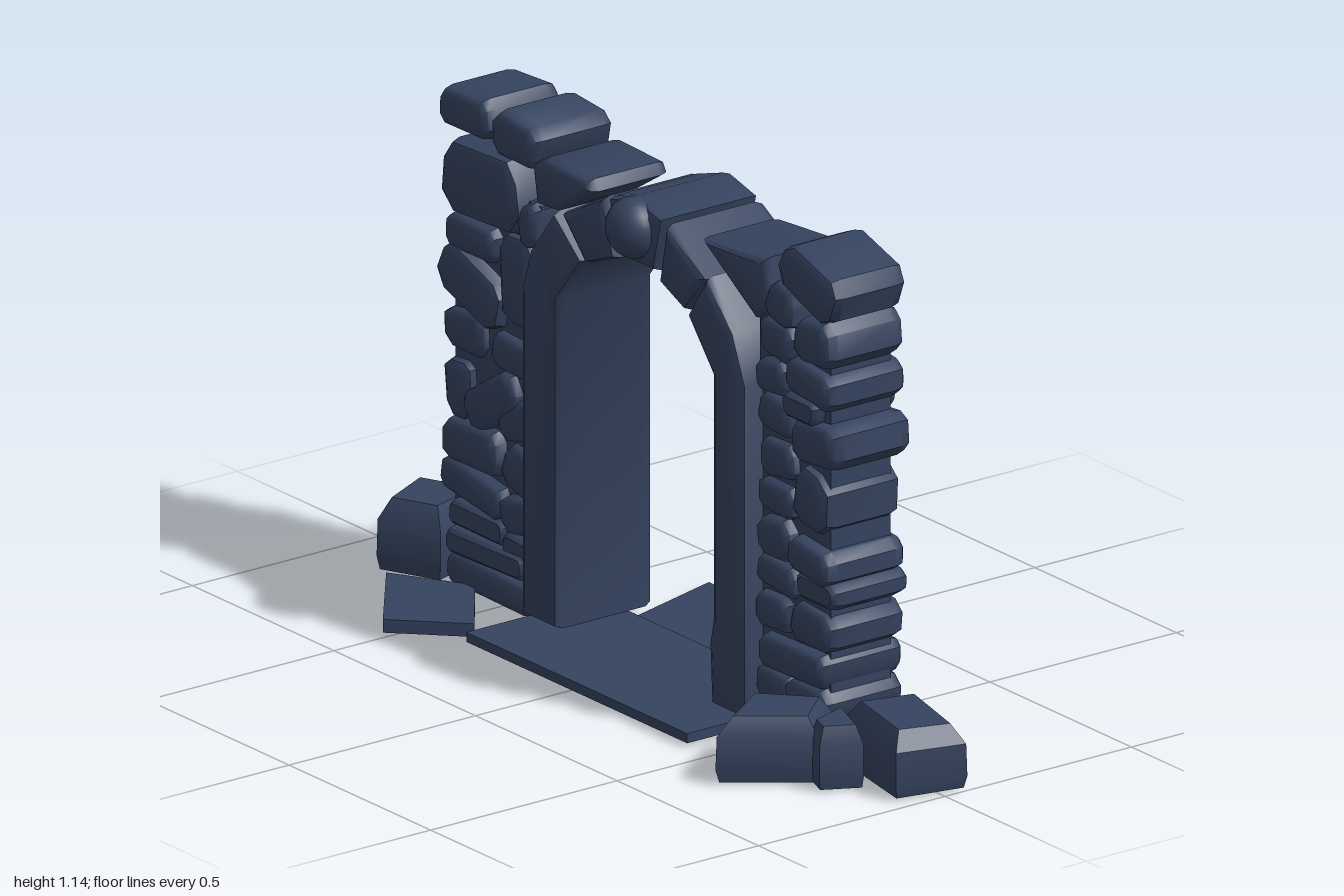
import * as THREE from 'three';
import { toCreasedNormals } from 'three/addons/utils/BufferGeometryUtils.js';
import { ConvexGeometry } from 'three/addons/geometries/ConvexGeometry.js';

const stoneMaterial = new THREE.MeshStandardMaterial({ color: 0x35435f });
stoneMaterial.name = 'slate blue stone';

// small seeded generator for the irregular masonry
let seed = 7;
const jitter = (amount) => {
  seed = (seed * 16807) % 2147483647;
  return (seed / 2147483647 - 0.5) * 2 * amount;
};

function addMesh(parent, name, geometry) {
  const mesh = new THREE.Mesh(geometry, stoneMaterial);
  mesh.name = name;
  parent.add(mesh);
  return mesh;
}

// outline in the front plane, carried from zBack to zFront with rounded edges
function block(points, zBack, zFront, bevel, bevelDepth = bevel) {
  const shape = new THREE.Shape(points.map(([x, y]) => new THREE.Vector2(x, y)));
  const geometry = new THREE.ExtrudeGeometry(shape, {
    depth: zFront - zBack - 2 * bevelDepth,
    bevelEnabled: bevel > 0,
    bevelSize: bevel,
    bevelOffset: -bevel,
    bevelThickness: bevelDepth,
    bevelSegments: 2,
  });
  geometry.translate(0, 0, zBack + bevelDepth);
  return toCreasedNormals(geometry, 0.75);
}

// irregular wall stone: a tilted rectangle with cut corners
function wallStone(x, y, w, h, tilt = 0) {
  const c = Math.min(w, h) * 0.25;
  const a = w / 2, b = h / 2, k = h * 0.05;
  const outline = [
    [-a + c, -b], [a - c, -b], [a, -b + c], [a, b - c],
    [a - c, b], [-a + c, b], [-a, b - c], [-a, -b + c],
  ].map(([px, py]) => {
    const qx = px + jitter(k), qy = py + jitter(k);
    return [
      x + qx * Math.cos(tilt) - qy * Math.sin(tilt),
      y + qx * Math.sin(tilt) + qy * Math.cos(tilt),
    ];
  });
  return block(outline, -0.14 + jitter(0.008), 0.076 + jitter(0.008), Math.min(0.022, h * 0.18), 0.03);
}

// loose boulder: footprint in x and z, with a height at each corner
function boulder(footprint, heights) {
  const cx = footprint.reduce((s, p) => s + p[0], 0) / footprint.length;
  const cz = footprint.reduce((s, p) => s + p[1], 0) / footprint.length;
  const points = [];
  for (const [level, scale] of [[0, 0.94], [0.2, 1], [0.72, 0.98], [1, 0.72]]) {
    footprint.forEach(([x, z], i) => {
      points.push(new THREE.Vector3(cx + (x - cx) * scale, 0.005 + heights[i] * level, cz + (z - cz) * scale));
    });
  }
  return toCreasedNormals(new ConvexGeometry(points), 0.6);
}

// flat paving slab: footprint in x and z
function slab(footprint, bottom, top) {
  const geometry = block(footprint.map(([x, z]) => [x, -z]), bottom, top, 0);
  return geometry.rotateX(-Math.PI / 2);
}

export function createModel() {
  seed = 7;
  const model = new THREE.Group();
  model.name = 'ruinedStoneArch';

  // arch: two bent posts and three wedge stones
  const arch = new THREE.Group();
  arch.name = 'arch';
  model.add(arch);
  const archParts = {
    rightPost: [[-0.375, 0.03], [-0.25, 0.03], [-0.25, 0.78], [-0.16, 0.895], [-0.26, 0.98], [-0.345, 0.87], [-0.375, 0.77]],
    leftPost: [[0.42, 0.02], [0.42, 0.78], [0.375, 0.89], [0.28, 0.99], [0.21, 0.885], [0.3, 0.775], [0.3, 0.22], [0.288, 0.16], [0.295, 0.02]],
    rightWedge: [[-0.235, 0.985], [-0.15, 0.893], [-0.045, 0.935], [-0.085, 1.065]],
    keystone: [[-0.068, 1.07], [-0.035, 0.948], [0.095, 0.948], [0.125, 1.075], [0.025, 1.1]],
    leftWedge: [[0.137, 1.067], [0.11, 0.93], [0.202, 0.89], [0.283, 0.985]],
  };
  for (const [name, outline] of Object.entries(archParts)) {
    addMesh(arch, name, block(outline, -0.17, 0.1, 0.02, 0.025));
  }
  const boss = addMesh(arch, 'keystoneBoss', new THREE.SphereGeometry(0.068, 20, 14));
  boss.position.set(0.027, 1.03, 0.095);
  boss.scale.z = 0.88;

  // walls: a core faced with stones given as x, y, width, height, tilt
  const walls = {
    rightWall: [
      [-0.62, 1.09, 0.18, 0.09, 0.06], [-0.44, 1.08, 0.16, 0.1, -0.05],
      [-0.545, 0.95, 0.28, 0.17, 0.02], [-0.585, 0.82, 0.18, 0.08],
      [-0.425, 0.76, 0.12, 0.2, 0.05], [-0.39, 0.9, 0.07, 0.1, 0.2], [-0.585, 0.71, 0.22, 0.12, -0.32],
      [-0.615, 0.595, 0.15, 0.1, 0.04], [-0.445, 0.585, 0.15, 0.09, -0.05],
      [-0.64, 0.46, 0.1, 0.14, 0.06], [-0.52, 0.465, 0.2, 0.1, 0.6],
      [-0.43, 0.44, 0.14, 0.1, 0.2], [-0.58, 0.345, 0.2, 0.1, 0.06],
      [-0.43, 0.33, 0.12, 0.11, -0.2], [-0.58, 0.25, 0.22, 0.08, -0.18],
      [-0.42, 0.23, 0.12, 0.09, 0.1], [-0.57, 0.175, 0.2, 0.06],
      [-0.42, 0.15, 0.12, 0.07, -0.1], [-0.53, 0.115, 0.28, 0.06, 0.04], [-0.52, 0.05, 0.3, 0.075, -0.03],
    ],
    leftWall: [
      [0.59, 1.06, 0.2, 0.115, -0.36], [0.51, 0.99, 0.1, 0.1, -0.3],
      [0.615, 0.93, 0.13, 0.1, 0.08], [0.49, 0.905, 0.12, 0.09, -0.1],
      [0.6, 0.835, 0.16, 0.085, -0.06], [0.475, 0.815, 0.11, 0.08, 0.1],
      [0.485, 0.73, 0.12, 0.085, -0.1], [0.625, 0.705, 0.16, 0.1, 0.12], [0.58, 0.775, 0.12, 0.06],
      [0.49, 0.63, 0.13, 0.09, 0.08], [0.605, 0.57, 0.12, 0.14, -0.05],
      [0.485, 0.54, 0.13, 0.08, -0.08], [0.485, 0.45, 0.12, 0.09, 0.1],
      [0.615, 0.435, 0.15, 0.08, -0.08], [0.49, 0.365, 0.14, 0.075, -0.1],
      [0.625, 0.37, 0.14, 0.07], [0.475, 0.28, 0.12, 0.08, 0.12],
      [0.605, 0.28, 0.15, 0.1, -0.06], [0.55, 0.19, 0.24, 0.08, 0.05],
      [0.48, 0.11, 0.13, 0.08, -0.1], [0.6, 0.105, 0.15, 0.09], [0.54, 0.045, 0.25, 0.07],
    ],
  };
  const cores = { rightWall: [-0.665, -0.36], leftWall: [0.41, 0.66] };
  for (const [name, stones] of Object.entries(walls)) {
    const wall = new THREE.Group();
    wall.name = name;
    model.add(wall);
    const [x0, x1] = cores[name];
    const core = addMesh(wall, 'wallCore', new THREE.BoxGeometry(x1 - x0, 0.94, 0.16));
    core.position.set((x0 + x1) / 2, 0.48, -0.032);
    stones.forEach((s) => addMesh(wall, 'wallStone', wallStone(...s)));
  }

  // shoulder stones lying between the arch and the wall tops
  addMesh(model, 'rightShoulderStone', block(
    [[-0.375, 1.05], [-0.36, 0.96], [-0.285, 0.965], [-0.16, 1.045], [-0.175, 1.07], [-0.33, 1.075]], -0.145, 0.07, 0.015, 0.025));
  addMesh(model, 'leftShoulderStone', block(
    [[0.22, 1.055], [0.41, 0.925], [0.46, 0.965], [0.445, 1.075]], -0.15, 0.065, 0.015, 0.025));

  // loose boulders at the feet of the walls
  const boulders = [
    [[[-1, -0.23], [-0.8, -0.24], [-0.8, -0.055], [-1, -0.04]], [0.1, 0.13, 0.12, 0.09]],
    [[[-0.915, -0.035], [-0.75, -0.11], [-0.69, 0.07], [-0.83, 0.135]], [0.16, 0.16, 0.16, 0.16]],
    [[[-0.78, -0.25], [-0.555, -0.355], [-0.535, -0.2], [-0.69, -0.11]], [0.11, 0.09, 0.12, 0.135]],
    [[[0.535, 0.18], [0.69, 0.06], [0.785, 0.175], [0.65, 0.35]], [0.145, 0.15, 0.145, 0.145]],
    [[[0.72, 0.06], [0.865, 0.115], [0.82, 0.2], [0.76, 0.18]], [0.14, 0.14, 0.14, 0.14]],
    [[[0.75, -0.115], [1, -0.06], [0.965, 0.105], [0.72, 0.06]], [0.145, 0.14, 0.145, 0.15]],
  ];
  boulders.forEach(([footprint, heights]) => addMesh(model, 'boulder', boulder(footprint, heights)));

  // paving
  addMesh(model, 'frontSlab', slab([[-0.355, -0.1], [0.425, -0.1], [0.425, 0.255], [-0.355, 0.255]], 0.008, 0.03));
  addMesh(model, 'backSlab', slab([[-0.295, -0.35], [0.27, -0.34], [0.18, -0.09], [-0.22, -0.09]], 0.012, 0.026));
  addMesh(model, 'looseSlab', slab([[-0.75, 0.17], [-0.575, 0.065], [-0.385, 0.21], [-0.525, 0.35]], 0, 0.03));
  return model;
}
